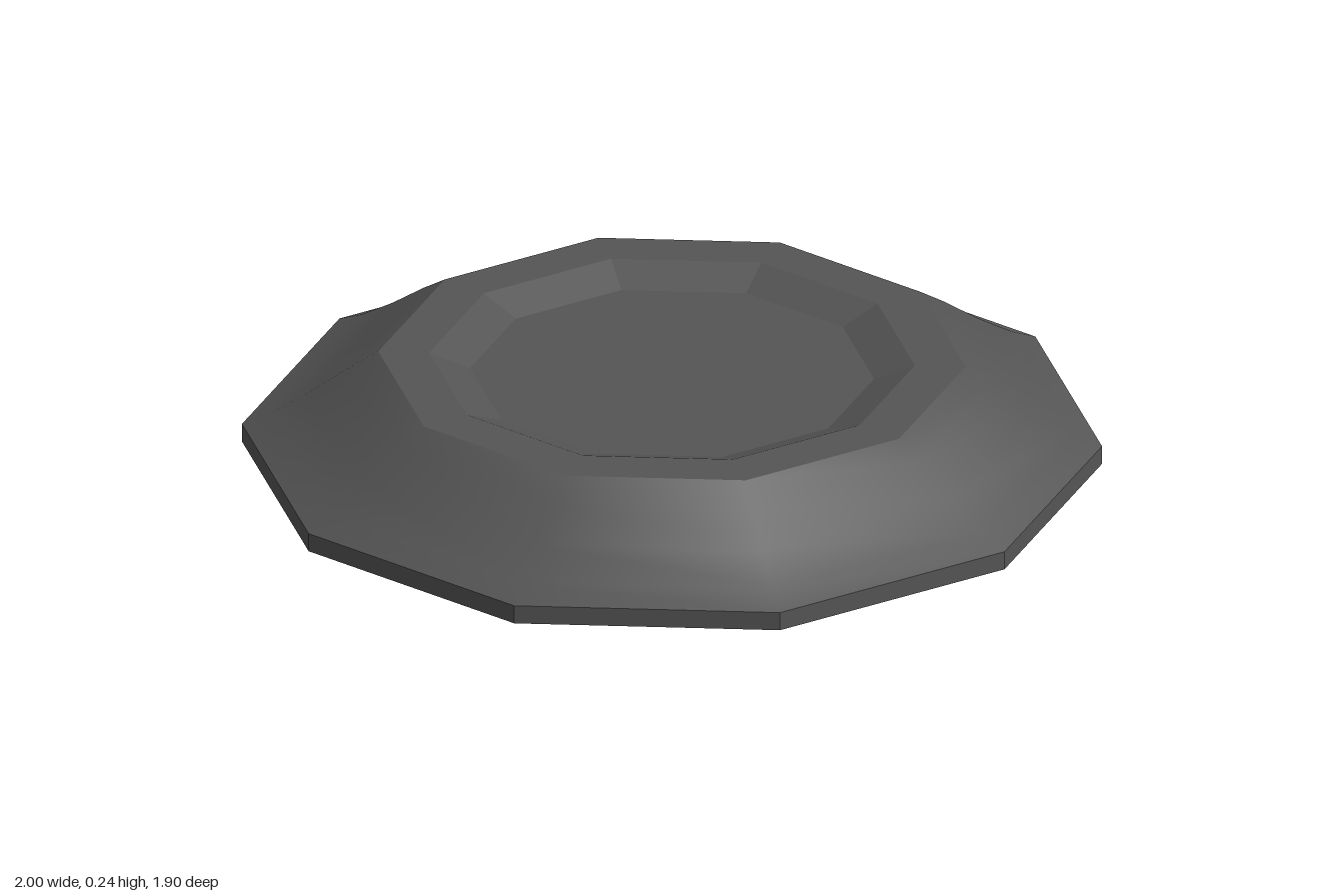
import * as THREE from 'three';
import { toCreasedNormals } from 'three/addons/utils/BufferGeometryUtils.js';

const SIDES = 10;

// Ten-sided turned surface with a corner on the x axis
function turned(name, profile, crease, material) {
  const points = profile.map(([r, y]) => new THREE.Vector2(r, y));
  const lathe = new THREE.LatheGeometry(points, SIDES, Math.PI / 2);
  const mesh = new THREE.Mesh(toCreasedNormals(lathe, crease), material);
  mesh.name = name;
  return mesh;
}

export function createModel() {
  const group = new THREE.Group();
  group.name = 'steppedBase';
  const material = new THREE.MeshStandardMaterial({ color: 0x555555 });

  // Flat underside, upright edge and softly curved sloping skirt
  group.add(turned('baseSkirt', [
    [0, 0], [1, 0], [1, 0.045], [0.934, 0.075],
    [0.842, 0.132], [0.746, 0.2], [0.683, 0.24],
  ], 0.52, material));

  // Level rim and shallow faceted recess
  group.add(turned('rimAndRecess', [
    [0.683, 0.24], [0.565, 0.24], [0.47, 0.203], [0, 0.203],
  ], 0.1, material));

  return group;
}
